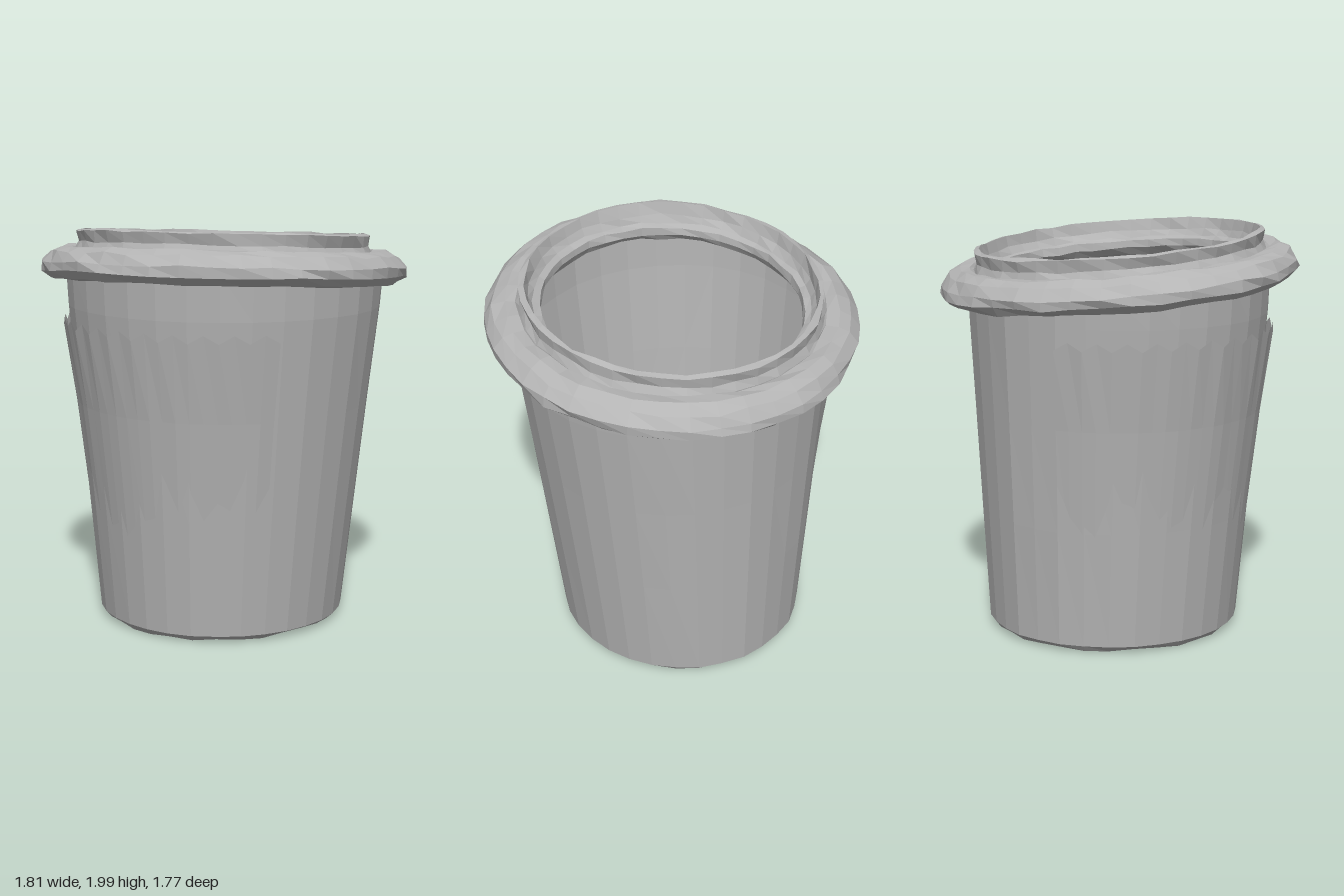
import * as THREE from 'three';

const TILT = 0.085; // the lid rises towards the front

// Repeatable noise in -1..1 for a grid corner
const noise = (i, j) => {
  const s = Math.sin(i * 127.1 + j * 311.7) * 43758.5453;
  return (s - Math.floor(s)) * 2 - 1;
};

// Lathe whose vertices are moved by rule(vertex, column, row); the seam stays closed
function crumpledLathe(profile, segments, rule, start = 0, sweep = Math.PI * 2) {
  const points = profile.map(([r, y]) => new THREE.Vector2(r, y));
  const geometry = new THREE.LatheGeometry(points, segments, start, sweep);
  const pos = geometry.attributes.position;
  const v = new THREE.Vector3();
  const closed = sweep > 6.28;
  for (let k = 0; k < pos.count; k++) {
    const column = Math.floor(k / points.length);
    v.fromBufferAttribute(pos, k);
    rule(v, closed ? column % segments : column, k % points.length);
    pos.setXYZ(k, v.x, v.y, v.z);
  }
  geometry.computeVertexNormals();
  return geometry;
}

// The cup leans slightly and turns from round to a little oval near the top
function leanCup(v) {
  const t = THREE.MathUtils.clamp(v.y / 1.68, 0, 1);
  v.x = v.x * THREE.MathUtils.lerp(0.99, 1.01, t) - 0.025 * (1 - t);
  v.z = v.z * THREE.MathUtils.lerp(1.015, 0.96, t) - 0.04 * (1 - t);
}

export function createModel() {
  const group = new THREE.Group();
  const grey = new THREE.MeshStandardMaterial({ color: 0xb4b4b4, side: THREE.DoubleSide, flatShading: true });
  grey.name = 'paper grey';
  const add = (name, geometry) => {
    const mesh = new THREE.Mesh(geometry, grey);
    mesh.name = name;
    group.add(mesh);
  };

  // Tapered wall, uneven from facet to facet
  add('cupWall', crumpledLathe([[0.62, 0.035], [0.672, 0.6], [0.718, 1.1], [0.765, 1.58], [0.775, 1.74]], 32, (v, i, j) => {
    const k = 1 + 0.006 * noise(i, 1);
    v.x *= k;
    v.z *= k;
    leanCup(v);
    if (j === 4) v.y += TILT * v.z;
  }));

  // Rolled foot and recessed floor
  add('cupBase', crumpledLathe([[0, 0.05], [0.5, 0.05], [0.53, 0.015], [0.59, 0.008], [0.62, 0.035]], 32, (v, i, j) => {
    const k = 1 + (j === 4 ? 0.006 * noise(i, 1) : j ? 0.012 * noise(i, j) : 0);
    v.x *= k;
    v.z *= k;
    if (j === 2 || j === 3) v.y += 0.008 * noise(i, 7);
    leanCup(v);
  }));

  // Thin sleeve wrapped round the front and right, with a zigzag top edge
  add('sleeve', crumpledLathe([[0.655, 0.5], [0.727, 1.1], [0.785, 1.5]], 32, (v, i, j) => {
    if (j === 2) v.y += i % 2 ? 0.022 : -0.018;
    const k = 1 + 0.004 * noise(i, 3);
    v.x *= k;
    v.z *= k;
    leanCup(v);
  }, THREE.MathUtils.degToRad(-135), THREE.MathUtils.degToRad(167)));

  const tiltLid = (amount) => (v, i, j) => {
    const k = 1 + amount * noise(i, j + 11);
    v.x *= k;
    v.z *= k * 0.98;
    v.y += TILT * v.z + amount * 0.6 * noise(i, j + 31);
  };

  // Bulging rolled edge of the lid
  add('lidRing', crumpledLathe([
    [0.73, 1.72], [0.79, 1.69], [0.85, 1.695], [0.895, 1.73], [0.895, 1.775],
    [0.855, 1.825], [0.8, 1.85], [0.745, 1.845], [0.715, 1.82],
  ], 40, tiltLid(0.012)));

  // Raised collar with a folded inner lip around the opening
  add('lidCollar', crumpledLathe([
    [0.735, 1.83], [0.715, 1.87], [0.725, 1.925], [0.7, 1.932], [0.685, 1.875],
    [0.665, 1.84], [0.635, 1.83], [0.63, 1.79], [0.66, 1.75], [0.74, 1.72],
  ], 40, tiltLid(0.009)));

  return group;
}
